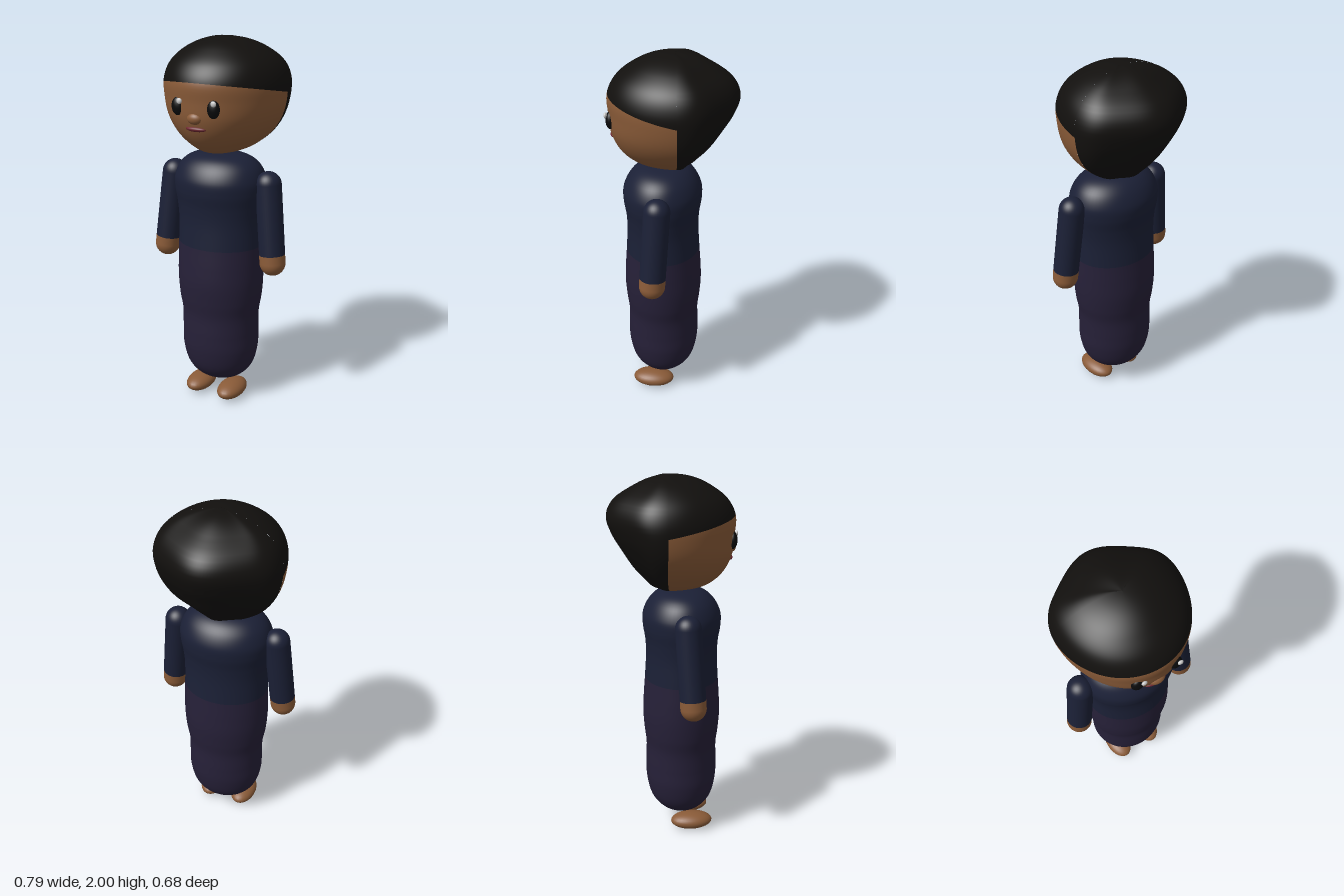
import * as THREE from 'three';

const V = (x, y, z) => new THREE.Vector3(x, y, z);
const paint = (color) => new THREE.MeshStandardMaterial({ color, roughness: 0.9 });

// Smooth patch of a surface(angle, t) between start(angle) and end(angle)
function patch(surface, start, end, a0 = 0, a1 = Math.PI * 2, cols = 64, rows = 36) {
  const pos = [], nor = [], idx = [], e = 0.004;
  for (let i = 0; i <= rows; i++) {
    for (let j = 0; j <= cols; j++) {
      const a = a0 + ((a1 - a0) * j) / cols;
      const t = THREE.MathUtils.lerp(start(a), end(a), i / rows);
      pos.push(...surface(a, t).toArray());
      // normal from finite differences, so neighbouring patches meet without a seam
      const s = THREE.MathUtils.clamp(t, 0.01, 0.99);
      const up = surface(a, s + e).sub(surface(a, s - e));
      const round = surface(a + e, s).sub(surface(a - e, s));
      nor.push(...up.cross(round).normalize().toArray());
      if (i < rows && j < cols) {
        const p = i * (cols + 1) + j, q = p + cols + 1;
        idx.push(p, q, p + 1, q, q + 1, p + 1);
      }
    }
  }
  const g = new THREE.BufferGeometry();
  g.setAttribute('position', new THREE.Float32BufferAttribute(pos, 3));
  g.setAttribute('normal', new THREE.Float32BufferAttribute(nor, 3));
  g.setIndex(idx);
  return g;
}

// Head: half width, front depth and back depth at even steps from chin to crown
const headCurve = new THREE.CatmullRomCurve3([
  V(0, 0.02, 0.02), V(0.1, 0.155, -0.09), V(0.178, 0.235, -0.14), V(0.255, 0.29, -0.2),
  V(0.307, 0.322, -0.255), V(0.33, 0.33, -0.31), V(0.33, 0.333, -0.338), V(0.295, 0.29, -0.3),
  V(0.218, 0.205, -0.2), V(0.115, 0.11, -0.105), V(0, 0, 0),
], false, 'catmullrom', 0.5);

function headSurface(a, t) {
  const p = headCurve.getPoint(t), c = Math.cos(a), s = Math.sin(a);
  const ring = Math.sqrt(Math.max(0, Math.sin(Math.PI * t)));
  const mid = -0.05 * ring + 0.02 * (1 - t) * (1 - ring);
  let z = mid + (s > 0 ? (p.y - mid) * s : (mid - p.z) * s);
  // the back of the head narrows to a soft point
  if (s < 0) z += 0.04 * ring * (2 * s * c) ** 2 * -s;
  return V(p.x * c, 1.7 - 0.3 * Math.cos(Math.PI * t), z);
}
const hairline = (a) => Math.acos((1.7 - (1.73 + 0.07 * Math.sin(a))) / 0.3) / Math.PI;

// Body: half width, height and half depth
const bodyCurve = new THREE.CatmullRomCurve3([
  V(0, 0.088, 0), V(0.07, 0.098, 0.06), V(0.14, 0.135, 0.125), V(0.19, 0.2, 0.172),
  V(0.214, 0.3, 0.195), V(0.215, 0.4, 0.198), V(0.217, 0.51, 0.195), V(0.232, 0.6, 0.205),
  V(0.24, 0.7, 0.212), V(0.24, 0.8, 0.208), V(0.237, 0.91, 0.2), V(0.235, 1.04, 0.193),
  V(0.243, 1.13, 0.197), V(0.255, 1.21, 0.209), V(0.252, 1.28, 0.206), V(0.215, 1.35, 0.168),
  V(0.14, 1.393, 0.105), V(0, 1.41, 0),
], false, 'catmullrom', 0.5);

function bodySurface(a, t) {
  const p = bodyCurve.getPoint(t);
  return V(p.x * Math.cos(a), p.y, 0.055 + p.z * Math.sin(a));
}

export function createModel() {
  const model = new THREE.Group();
  const skin = paint(0x8a5b38), hairMat = paint(0x12100e), navy = paint(0x1b2036);
  const plum = paint(0x262038), black = paint(0x0a0a0b), white = paint(0xe8e8e8), red = paint(0x6e2630);

  const add = (name, geometry, material, parent = model) => {
    const m = new THREE.Mesh(geometry, material);
    m.name = name;
    parent.add(m);
    return m;
  };
  const ellipsoid = (name, material, [x, y, z], [rx, ry, rz]) => {
    const m = add(name, new THREE.SphereGeometry(1, 28, 18), material);
    m.position.set(x, y, z);
    m.scale.set(rx, ry, rz);
    return m;
  };
  const zero = () => 0, one = () => 1, waist = () => 10 / 17;

  // Head and hair
  add('face', patch(headSurface, zero, hairline, 0, Math.PI), skin);
  add('frontHair', patch(headSurface, hairline, one, 0, Math.PI), hairMat);
  add('backHair', patch(headSurface, zero, one, Math.PI, Math.PI * 2), hairMat);

  // Gown
  add('skirt', patch(bodySurface, zero, waist, 0, Math.PI * 2, 64, 60), plum);
  add('top', patch(bodySurface, waist, one, 0, Math.PI * 2, 64, 44), navy);

  // Facial features
  ellipsoid('nose', skin, [0, 1.622, 0.313], [0.042, 0.03, 0.028]);
  ellipsoid('mouth', red, [0, 1.568, 0.301], [0.058, 0.014, 0.022]);

  for (const side of [-1, 1]) {
    const label = side > 0 ? 'left' : 'right';
    ellipsoid(label + 'Eye', black, [side * 0.102, 1.676, 0.305], [0.034, 0.047, 0.025]);
    ellipsoid(label + 'EyeGlint', white, [side * 0.0975 + 0.0175, 1.706, 0.328], [0.015, 0.015, 0.009]);

    // Foot
    ellipsoid(label + 'Foot', skin, [side * 0.1, 0.05, 0.105], [0.072, 0.046, 0.117]);

    // Arm: one rounded profile along its axis, cut at the cuff
    const shoulder = V(side * 0.285, 1.262, 0.056), hand = V(side * 0.328, 0.845, 0.08);
    const length = shoulder.distanceTo(hand), r0 = 0.069, r1 = 0.069, cuff = 0.045;
    const arm = new THREE.Group();
    arm.name = label + 'Arm';
    arm.position.copy(hand);
    arm.quaternion.setFromUnitVectors(V(0, 1, 0), shoulder.clone().sub(hand).normalize());
    model.add(arm);
    const handProfile = [], sleeveProfile = [new THREE.Vector2(r1, cuff)];
    for (let i = 0; i <= 12; i++) {
      const a = (i / 12) * Math.PI / 2;
      handProfile.push(new THREE.Vector2(r1 * Math.sin(a), -r1 * Math.cos(a)));
      sleeveProfile.push(new THREE.Vector2(r0 * Math.cos(a), length + r0 * Math.sin(a)));
    }
    handProfile.push(new THREE.Vector2(r1, cuff));
    add(label + 'Hand', new THREE.LatheGeometry(handProfile, 36), skin, arm);
    add(label + 'Sleeve', new THREE.LatheGeometry(sleeveProfile, 36), navy, arm);
  }
  return model;
}
